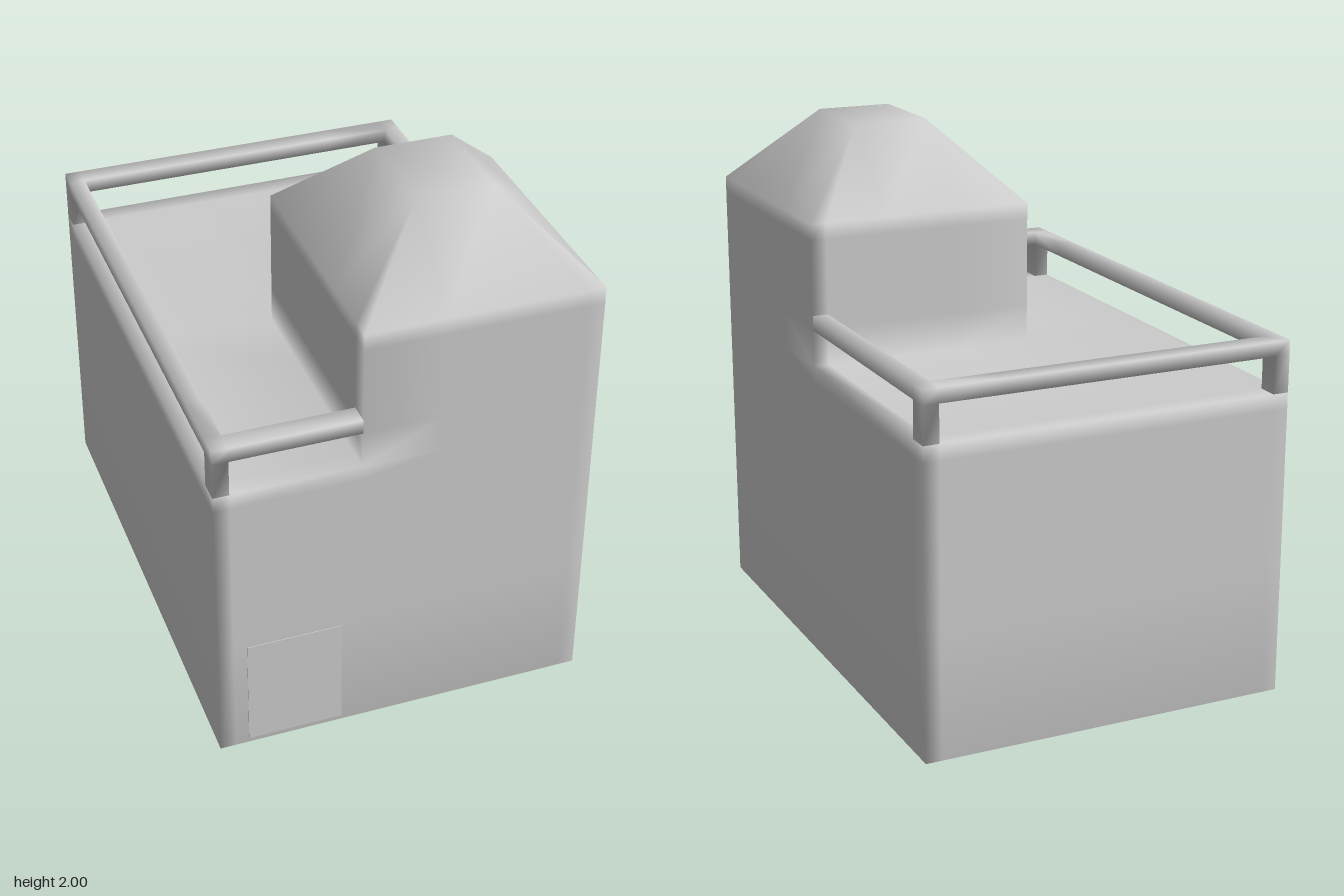
import * as THREE from 'three';
import { mergeVertices } from 'three/addons/utils/BufferGeometryUtils.js';

// Dividing planes shared by walls, tower and railing
const LINES = [
  [-0.71, -0.65, -0.17, 0.12, 0.41, 0.65, 0.71],
  [0, 0.5, 1.1, 1.16, 1.3, 1.355, 1.64, 1.7, 2],
  [-1, -0.92, 0.02, 0.32, 0.7, 0.92, 1],
];

// Builds the welded, smooth-shaded skin around every grid cell whose centre is solid
function shell(solid, shape = (p) => p) {
  const filled = (cell) => {
    if (cell.some((c, a) => c < 0 || c >= LINES[a].length - 1)) return false;
    return solid(...cell.map((c, a) => (LINES[a][c] + LINES[a][c + 1]) / 2));
  };
  const pos = [];
  const addFaces = (cell) => {
    for (let a = 0; a < 3; a++) {
      for (const side of [0, 1]) {
        const next = [...cell];
        next[a] += side ? 1 : -1;
        if (filled(next)) continue;
        const u = (a + 1) % 3, v = (a + 2) % 3;
        const corners = [[0, 0], [1, 0], [1, 1], [0, 1]].map(([du, dv]) => {
          const i = [...cell];
          i[a] += side;
          i[u] += du;
          i[v] += dv;
          return shape(i.map((n, k) => LINES[k][n]));
        });
        if (!side) corners.reverse();
        for (const k of [0, 1, 2, 0, 2, 3]) pos.push(...corners[k]);
      }
    }
  };
  for (let i = 0; i < LINES[0].length - 1; i++)
    for (let j = 0; j < LINES[1].length - 1; j++)
      for (let k = 0; k < LINES[2].length - 1; k++)
        if (filled([i, j, k])) addFaces([i, j, k]);

  let geo = new THREE.BufferGeometry();
  geo.setAttribute('position', new THREE.Float32BufferAttribute(pos, 3));
  geo = mergeVertices(geo, 1e-4);
  // Drop triangles collapsed by the tapered roof
  const old = geo.index.array, index = [];
  for (let t = 0; t < old.length; t += 3) {
    const [a, b, c] = [old[t], old[t + 1], old[t + 2]];
    if (a !== b && b !== c && a !== c) index.push(a, b, c);
  }
  geo.setIndex(index);
  geo.computeVertexNormals();
  return geo;
}

export function createModel() {
  const group = new THREE.Group();
  const material = new THREE.MeshStandardMaterial({ color: 0xcccccc, roughness: 0.8 });
  const add = (name, geometry) => {
    const mesh = new THREE.Mesh(geometry, material);
    mesh.name = name;
    group.add(mesh);
    return mesh;
  };

  // Main block with corner tower; the top layer tapers into a flat-topped hip roof
  const inTower = (x, z) => x > -0.17 && z > 0.02;
  const taperRoof = ([x, y, z]) => y < 2 ? [x, y, z] : [
    THREE.MathUtils.clamp(x, 0.12, 0.41), y, THREE.MathUtils.clamp(z, 0.32, 0.7),
  ];
  add('buildingWithTower', shell((x, y, z) => y < 1.16 || inTower(x, z), taperRoof));

  // Terrace railing: a rail along the open edges, posts at the three free corners
  add('terraceRailing', shell((x, y, z) => {
    if (inTower(x, z) || y < 1.16 || y > 1.355) return false;
    const onX = Math.abs(x) > 0.65, onZ = Math.abs(z) > 0.92;
    return y > 1.3 ? onX || onZ : onX && onZ;
  }));

  // Door panel, almost flush with the front wall
  add('door', new THREE.BoxGeometry(0.36, 0.44, 0.008)).position.set(-0.42, 0.24, 0.999);

  return group;
}
